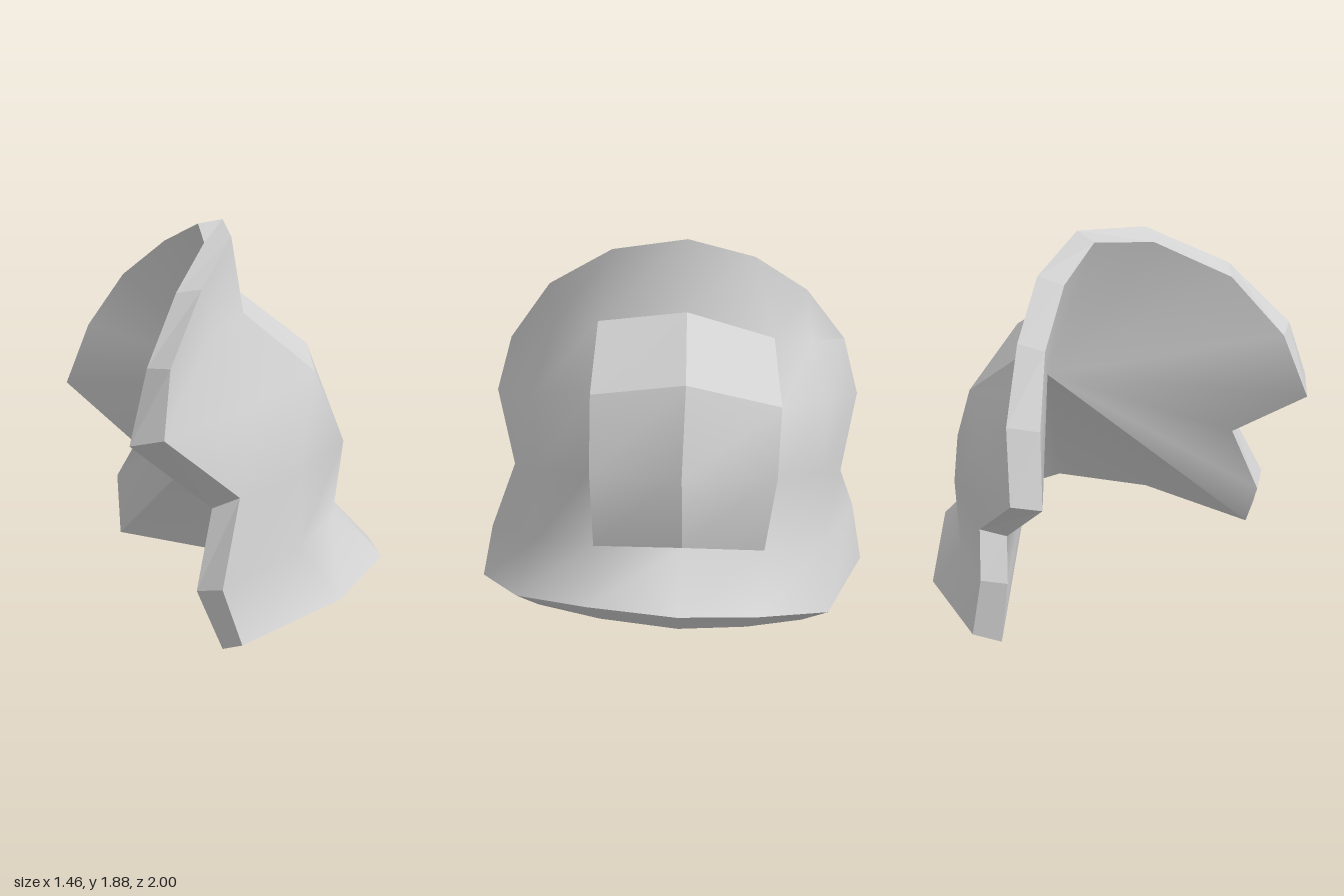
import * as THREE from 'three';

// Outer cross-sections from the flared hem up to the fan edge.
// Each row runs from +z, round the +x front, to -z.
const rows = [
  [[-.25, .06, 1], [.3, .15, .73], [.65, .23, .33], [.73, .22, -.1], [.59, .18, -.48], [.23, .08, -.82], [-.36, .17, -1]],
  [[-.33, .31, .96], [.12, .39, .65], [.39, .45, .33], [.48, .48, -.11], [.28, .41, -.5], [.01, .36, -.79], [-.37, .46, -.95]],
  [[-.21, .69, .81], [.13, .75, .65], [.44, .83, .34], [.53, .84, -.11], [.33, .79, -.56], [.04, .75, -.79], [-.28, .67, -.88]],
  [[-.59, 1, .96], [-.12, 1.08, .69], [.29, 1.18, .35], [.39, 1.255, -.12], [.19, 1.11, -.575], [-.17, 1.06, -.8], [-.64, 1, -.97]],
  [[-.54, 1.3, .87], [-.29, 1.4, .61], [-.07, 1.475, .35], [.015, 1.54, -.1], [-.13, 1.39, -.53], [-.33, 1.34, -.72], [-.52, 1.32, -.89]],
  [[-.54, 1.3, .87], [-.34, 1.62, .63], [-.11, 1.83, .28], [-.055, 1.89, -.1], [-.17, 1.79, -.43], [-.35, 1.6, -.69], [-.52, 1.32, -.89]],
];
const lastR = rows.length - 1, lastC = rows[0].length - 1;

// Outer border: hem, -z side, fan edge, +z side
const outerBorder = [
  ...rows[0],
  ...[1, 2, 3].map((r) => rows[r][lastC]),
  ...[...rows[lastR]].reverse(),
  ...[3, 2, 1].map((r) => rows[r][0]),
];

// Inner border, point for point with the outer one
const innerBorder = [
  [-.31, .01, .88], [.23, .08, .63], [.56, .14, .28], [.64, .13, -.1], [.51, .1, -.42], [.16, .01, -.69], [-.44, .12, -.89],
  [-.46, .45, -.86], [-.37, .64, -.79], [-.73, .98, -.86],
  [-.62, 1.3, -.78], [-.46, 1.58, -.62], [-.29, 1.77, -.37], [-.18, 1.87, -.1], [-.23, 1.8, .23], [-.44, 1.6, .55], [-.62, 1.29, .75],
  [-.72, .96, .84], [-.32, .63, .73], [-.42, .28, .84],
];
const hub = [.18, 1.04, -.1];
const count = outerBorder.length;

function surface(positions, index) {
  const g = new THREE.BufferGeometry();
  g.setAttribute('position', new THREE.Float32BufferAttribute(positions.flat(), 3));
  if (index) g.setIndex(index);
  g.computeVertexNormals();
  return g;
}

// Smooth surface over the grid cells that pass the keep test
function patch(keep) {
  const index = [], n = lastC + 1;
  for (let r = 0; r < lastR; r++) {
    for (let c = 0; c < lastC; c++) {
      if (!keep(r, c)) continue;
      const a = r * n + c, d = a + n;
      index.push(a, a + 1, d + 1, a, d + 1, d);
    }
  }
  return surface(rows.flat(), index);
}

// Inside faces running from a stretch of the inner border to the central hollow
function lining(start, end) {
  const index = [];
  for (let i = start; i < end; i++) index.push(count, (i + 1) % count, i);
  return surface([...innerBorder, hub], index);
}

// Flat-faced wall joining the outer and inner borders
function rimWall() {
  const pos = [];
  for (let i = 0; i < count; i++) {
    const j = (i + 1) % count;
    const p = outerBorder[i], q = outerBorder[j], pi = innerBorder[i], qi = innerBorder[j];
    pos.push(p, pi, qi, p, qi, q);
  }
  return surface(pos);
}

export function createModel() {
  const group = new THREE.Group();
  group.name = 'armourGuard';
  const steel = new THREE.MeshStandardMaterial({ color: 0xd2d2d2 });
  steel.name = 'plain grey';
  const add = (name, geometry) => {
    const mesh = new THREE.Mesh(geometry, steel);
    mesh.name = name;
    group.add(mesh);
  };

  // Hem, side wings and fan form one smooth skin around the raised pad
  const inPad = (r, c) => r >= 1 && r <= 3 && (c === 2 || c === 3);
  add('outerShell', patch((r, c) => !inPad(r, c)));

  // Pad facets meet in hard edges
  for (const [side, col] of [['Left', 2], ['Right', 3]]) {
    add('frontPad' + side, patch((r, c) => c === col && (r === 1 || r === 2)));
    add('padTop' + side, patch((r, c) => c === col && r === 3));
  }

  // Inside: the hem hollow and the fan hollow meet in a crease
  add('hemLining', lining(0, lastC));
  add('fanLining', lining(lastC, count));
  add('rim', rimWall());
  return group;
}
